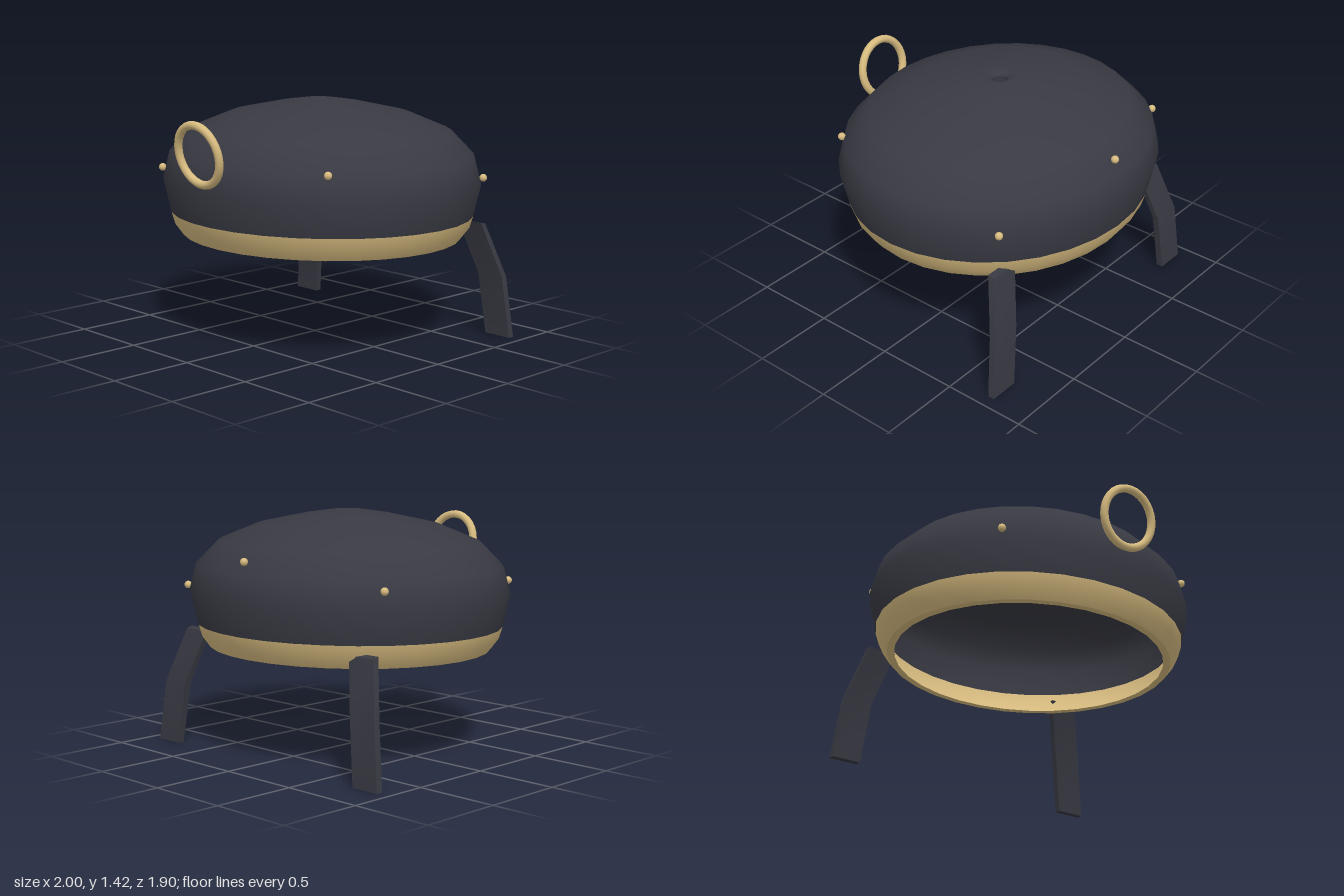
import * as THREE from 'three';
import { mergeGeometries } from 'three/addons/utils/BufferGeometryUtils.js';

const DARK = new THREE.MeshStandardMaterial({ color: 0x383942 });
const GOLD = new THREE.MeshStandardMaterial({ color: 0xd8bc80 });
const DEPTH = 0.905;   // the body is slightly narrower front to back
const CENTRE_Z = -0.045;

function addMesh(parent, name, geometry, material) {
  const mesh = new THREE.Mesh(geometry, material);
  mesh.name = name;
  parent.add(mesh);
  return mesh;
}

// Oval lathe; each strip is smooth and meets the next in a sharp edge
function ovalLathe(strips) {
  const parts = strips.map((strip) =>
    new THREE.LatheGeometry(strip.map(([r, y]) => new THREE.Vector2(r, y)), 32));
  return mergeGeometries(parts).scale(1, 1, DEPTH).translate(0, 0, CENTRE_Z);
}

// Flat bar bent through the given centre points, top to bottom
function bentLeg(side) {
  const path = [[0.695, 0.695, -0.627], [0.79, 0.37, -0.717], [0.835, 0, -0.742]];
  const geometry = new THREE.BoxGeometry(0.182, 2, 0.04, 1, 2, 1);
  const pos = geometry.attributes.position;
  for (let i = 0; i < pos.count; i++) {
    const [x, y, z] = path[Math.round(1 - pos.getY(i))];
    const tilt = y > 0.6 ? 0.25 : 0;
    pos.setXYZ(i, side * x + pos.getX(i), y + pos.getZ(i) * tilt, z + pos.getZ(i));
  }
  geometry.computeVertexNormals();
  return geometry;
}

export function createModel() {
  const model = new THREE.Group();
  model.name = 'kettleDome';

  // Hollow dome with a small vent at the top
  addMesh(model, 'domeShell', ovalLathe([
    [[0.955, 0.75], [1, 0.94], [0.957, 1.1], [0.815, 1.24], [0.56, 1.34],
      [0.26, 1.4], [0.1, 1.422], [0.06, 1.415], [0.045, 1.395]],
    [[0.045, 1.395], [0.045, 1.36]],
    [[0.045, 1.36], [0.26, 1.35], [0.54, 1.29], [0.78, 1.195], [0.905, 1.08],
      [0.945, 0.94], [0.905, 0.75]],
  ]), DARK);

  // Rim band around the open underside
  addMesh(model, 'rimBand', ovalLathe([
    [[0.88, 0.612], [0.933, 0.68], [0.955, 0.75]],
    [[0.905, 0.75], [0.88, 0.68], [0.835, 0.612]],
    [[0.835, 0.612], [0.88, 0.612]],
  ]), GOLD);

  // Ring leaning outward on the front
  const ring = addMesh(model, 'frontRing', new THREE.TorusGeometry(0.174, 0.024, 10, 32), GOLD);
  ring.position.set(0, 1.17, 0.893);
  ring.rotation.x = 0.19;

  // Studs scattered around the dome
  const studs = [[-0.685, 1.0, 0.615], [0.695, 1.1, 0.567], [0, 1.17, -0.867],
    [0.755, 0.96, -0.657], [-0.8, 1.05, -0.575]];
  const studGeometry = new THREE.SphereGeometry(0.023, 12, 8);
  for (const p of studs) addMesh(model, 'stud', studGeometry, GOLD).position.set(...p);

  // Pair of bent back legs
  addMesh(model, 'leftBackLeg', bentLeg(1), DARK);
  addMesh(model, 'rightBackLeg', bentLeg(-1), DARK);

  return model;
}
